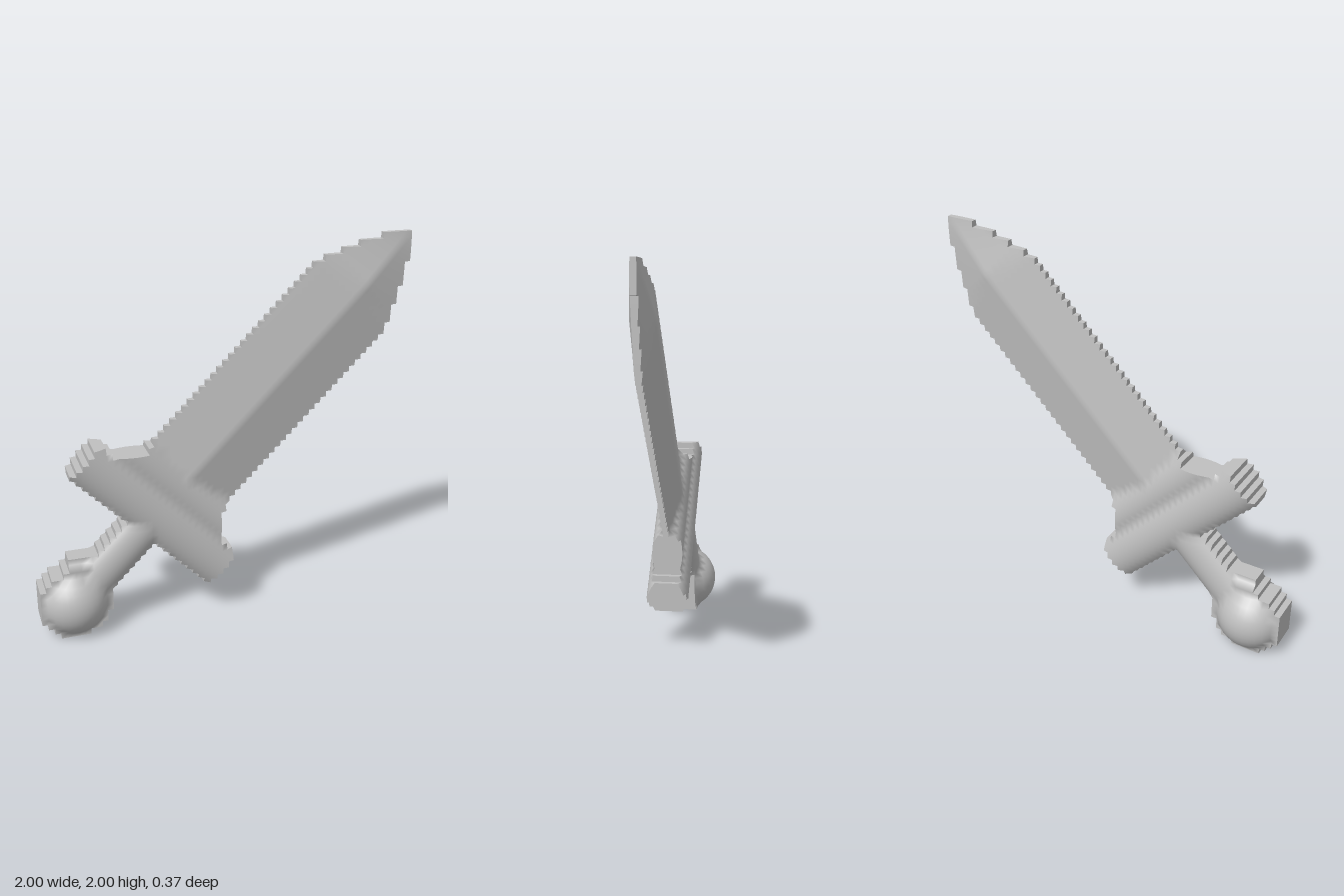
import * as THREE from 'three';

// The sword lies on the diagonal of a square grid: s runs along it, t across it.
const N = 64, STEP = 2 / N, R2 = Math.SQRT2;
const along = (x, y) => (x + y - 1) / R2;
const across = (x, y) => (y - 1 - x) / R2;
const pommelDist = (x, y) => Math.hypot(x + 0.82, y - 0.185);
const dome = (d, r, h) => h * Math.sqrt(Math.max(0, 1 - (d / r) ** 2));

// Which part a grid cell belongs to (by its centre), or null when empty
function partAt(x, y) {
  const s = along(x, y), t = Math.abs(across(x, y)), v = y - 1;
  if (pommelDist(x, y) < 0.185) return 'pommel';
  if (s > -0.65 && s < -0.425 && t < 0.505) return 'guard';
  if (s >= -0.425 && s < -0.29 && s + t < -0.03) return 'collar';
  if (s > -1.1 && s <= -0.65 && t < 0.098) return 'grip';
  if (x > -0.83 && x < -0.7 && y > 0.37 && y < 0.44) return 'grip'; // small spur
  const tip = v < 0.922 + (x - 0.63) * 0.31 && x < 0.922 + (v - 0.63) * 0.31;
  if (s >= -0.425 && t < 0.283 && tip) return 'blade';
  return null;
}

// Half thickness of the sword at any point
function halfDepth(x, y) {
  const s = along(x, y), t = Math.abs(across(x, y));
  let h = 0.013;
  // blade: central ridge, sloping to the edges and the tip
  if (s > -0.5) {
    const w = 0.285 - Math.max(0, s - 0.99) * 0.54;
    const slope = Math.max(0, 1 - t / w) * Math.min(1, Math.max(0, (1.414 - s) / 0.36));
    h = Math.max(h, 0.013 + 0.049 * slope);
  }
  // collar and guard: rounded bars across the sword
  if (Math.abs(s + 0.36) < 0.11 && t < 0.42) h = Math.max(h, dome(s + 0.36, 0.115, 0.08));
  if (Math.abs(s + 0.538) < 0.16 && t < 0.56) h = Math.max(h, 0.04, dome(s + 0.538, 0.14, 0.11));
  // grip: rounded rod
  if (s > -1.15 && s < -0.5 && t < 0.22) h = Math.max(h, 0.05, dome(t, 0.125, 0.1));
  // pommel: ball with a thick rim
  const d = pommelDist(x, y);
  if (d < 0.22) h = Math.max(h, 0.08, dome(d, 0.185, 0.185));
  return h;
}

// Smooth front normal taken from the slope of the surface
function slopeNormal(x, y) {
  const e = STEP * 0.5;
  return new THREE.Vector3(
    (halfDepth(x - e, y) - halfDepth(x + e, y)) / (2 * e),
    (halfDepth(x, y - e) - halfDepth(x, y + e)) / (2 * e), 1).normalize();
}

const gx = i => -1 + i * STEP;
const gy = j => j * STEP;
const cell = (i, j) => i < 0 || j < 0 || i >= N || j >= N ? null : partAt(gx(i + 0.5), gy(j + 0.5));

function buildPart(name, material) {
  const pos = [], nor = [];
  const put = (x, y, z, n) => { pos.push(x, y, z); nor.push(n.x, n.y, n.z); };

  for (let i = 0; i < N; i++) for (let j = 0; j < N; j++) {
    if (cell(i, j) !== name) continue;
    const c = [[i, j], [i + 1, j], [i + 1, j + 1], [i, j + 1]].map(([a, b]) => {
      const x = gx(a), y = gy(b);
      return { x, y, h: halfDepth(x, y), n: slopeNormal(x, y) };
    });

    // front and back faces, split along the sword's direction
    for (const k of [0, 1, 2, 0, 2, 3]) put(c[k].x, c[k].y, c[k].h, c[k].n);
    for (const k of [0, 2, 1, 0, 3, 2]) {
      const n = c[k].n;
      put(c[k].x, c[k].y, -c[k].h, { x: n.x, y: n.y, z: -n.z });
    }

    // stepped walls wherever the neighbouring cell is empty
    [[0, -1], [1, 0], [0, 1], [-1, 0]].forEach(([dx, dy], k) => {
      if (cell(i + dx, j + dy)) return;
      const p = c[k], q = c[(k + 1) % 4], n = { x: dx, y: dy, z: 0 };
      for (const [v, side] of [[p, -1], [q, -1], [q, 1], [p, -1], [q, 1], [p, 1]])
        put(v.x, v.y, v.h * side, n);
    });
  }

  const geometry = new THREE.BufferGeometry();
  geometry.setAttribute('position', new THREE.Float32BufferAttribute(pos, 3));
  geometry.setAttribute('normal', new THREE.Float32BufferAttribute(nor, 3));
  const mesh = new THREE.Mesh(geometry, material);
  mesh.name = name;
  return mesh;
}

export function createModel() {
  const group = new THREE.Group();
  group.name = 'sword';
  const steel = new THREE.MeshStandardMaterial({ color: 0xbfbfbf });
  steel.name = 'grey steel';
  for (const name of ['blade', 'collar', 'guard', 'grip', 'pommel']) group.add(buildPart(name, steel));
  return group;
}
